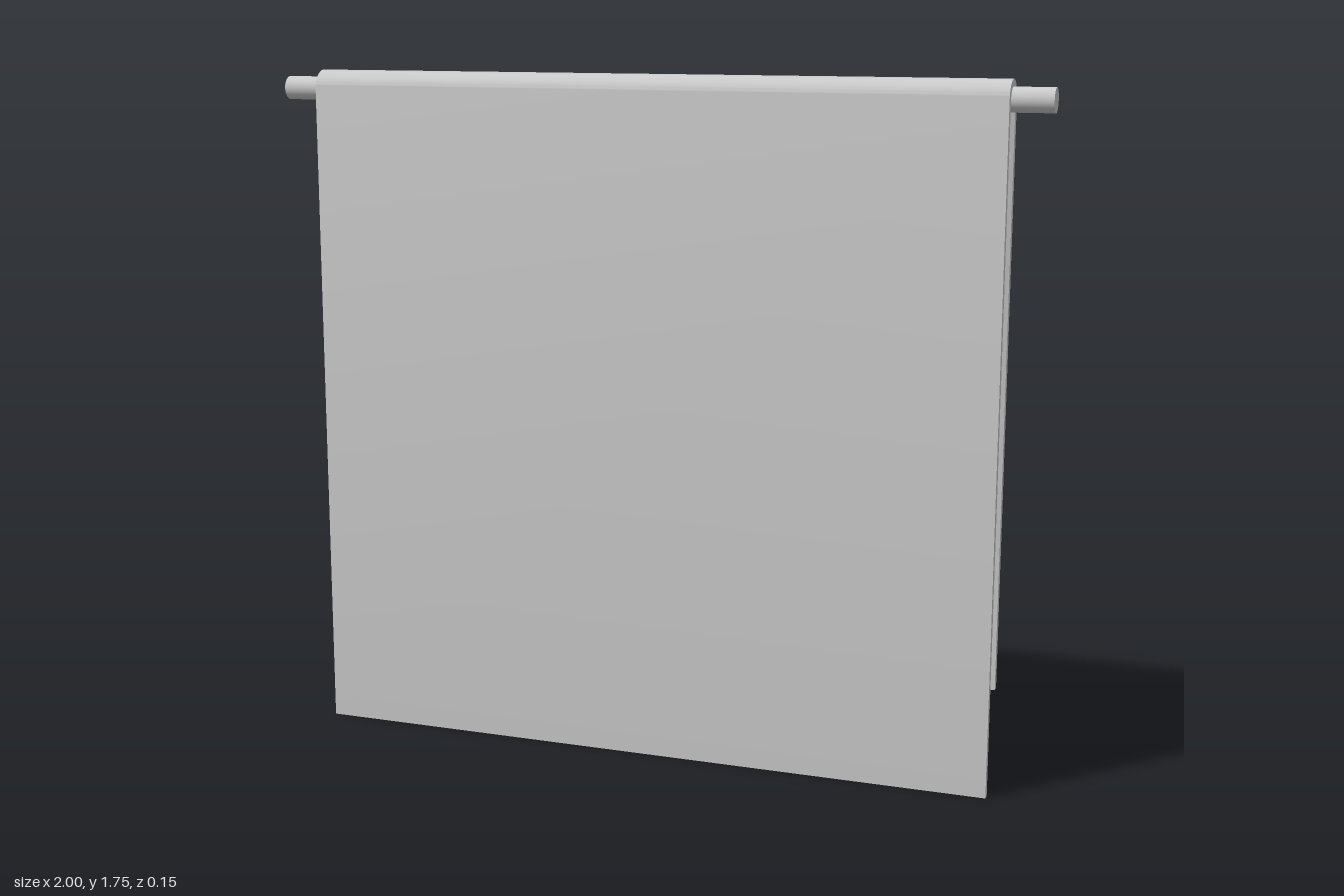
import * as THREE from 'three';
import { toCreasedNormals } from 'three/addons/utils/BufferGeometryUtils.js';

const BAR_Y = 1.702, BAR_Z = 0.025, BAR_R = 0.03;
const CLOTH_R = 0.048, CLOTH_WIDTH = 1.8;
const BACK_HEM = 0.255, PEG_X = 0.95, PEG_R = 0.0115, PEG_END = -0.073;

export function createModel() {
  const group = new THREE.Group();
  const material = new THREE.MeshStandardMaterial({ color: 0xcccccc });
  const add = (name, geometry) => {
    const mesh = new THREE.Mesh(geometry, material);
    mesh.name = name;
    group.add(mesh);
    return mesh;
  };

  // Towel: an upside-down J profile folded over the bar, extruded along its width
  const profile = new THREE.Shape();
  profile.moveTo(-CLOTH_R, -BAR_Y);
  profile.lineTo(-CLOTH_R, 0);
  profile.absarc(0, 0, CLOTH_R, Math.PI, 0, true);
  profile.lineTo(CLOTH_R, BACK_HEM - BAR_Y);
  profile.lineTo(BAR_R, BACK_HEM - BAR_Y);
  profile.lineTo(BAR_R, 0);
  profile.absarc(0, 0, BAR_R, 0, Math.PI, false);
  profile.lineTo(-BAR_R, -BAR_Y);
  profile.closePath();
  const cloth = new THREE.ExtrudeGeometry(profile, {
    depth: CLOTH_WIDTH, bevelEnabled: false, curveSegments: 24,
  });
  cloth.translate(0, 0, -CLOTH_WIDTH / 2).rotateY(Math.PI / 2);
  add('towel', toCreasedNormals(cloth, Math.PI / 5)).position.set(0, BAR_Y, BAR_Z);

  // Rail the towel hangs on
  const rail = new THREE.CylinderGeometry(BAR_R, BAR_R, 2, 32).rotateZ(Math.PI / 2);
  add('rail', rail).position.set(0, BAR_Y, BAR_Z);

  // Wall pegs reaching back from each end of the rail
  const pegLength = BAR_Z - PEG_END;
  for (const [name, side] of [['leftPeg', 1], ['rightPeg', -1]]) {
    const peg = new THREE.CylinderGeometry(PEG_R, PEG_R, pegLength, 20).rotateX(Math.PI / 2);
    add(name, peg).position.set(side * PEG_X, BAR_Y, (BAR_Z + PEG_END) / 2);
  }
  return group;
}
